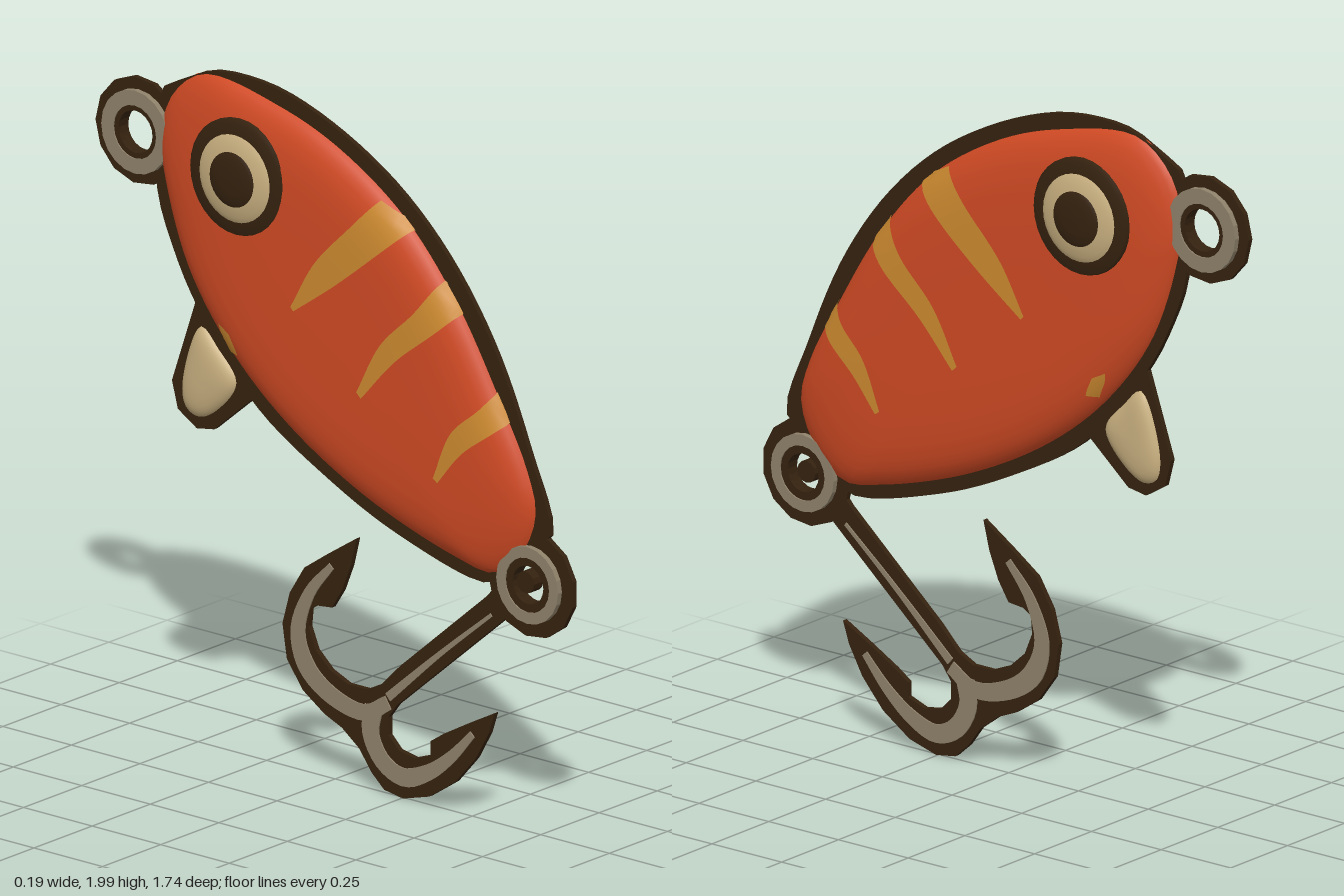
import * as THREE from 'three';
import { mergeVertices } from 'three/addons/utils/BufferGeometryUtils.js';

const mat = (name, color, side = THREE.FrontSide) => {
  const m = new THREE.MeshStandardMaterial({ color, side });
  m.name = name;
  return m;
};

// Drawing units of the side profile -> model units (s runs towards the nose, y up)
const U = 188.6;
const P = (a, b) => new THREE.Vector2((a - 686) / U, (413 - b) / U);
const path = (n) => {
  const out = [];
  for (let i = 0; i < n.length; i += 2) out.push(P(n[i], n[i + 1]));
  return out;
};
const smooth = (pts, n, closed = true) => {
  const c = new THREE.CatmullRomCurve3(pts.map(p => new THREE.Vector3(p.x, p.y, 0)), closed, 'centripetal');
  const r = c.getSpacedPoints(n).map(p => new THREE.Vector2(p.x, p.y));
  if (closed) r.pop();
  return r;
};

// Flat plate of half thickness h, centred on the middle plane
function plate(pts, h, holes = []) {
  const shape = new THREE.Shape(pts);
  holes.forEach(q => shape.holes.push(new THREE.Path(q)));
  return new THREE.ExtrudeGeometry(shape, { depth: 2 * h, bevelEnabled: false }).translate(0, 0, -h);
}
const circle = (c, r, n) => Array.from({ length: n }, (_, i) => {
  const a = i / n * Math.PI * 2;
  return new THREE.Vector2(c.x + r * Math.cos(a), c.y + r * Math.sin(a));
});

// Surface through a grid of points f(i, j)
function grid(rows, cols, f) {
  const pos = [], idx = [];
  for (let i = 0; i <= rows; i++) for (let j = 0; j <= cols; j++) pos.push(...f(i, j));
  for (let i = 0; i < rows; i++) for (let j = 0; j < cols; j++) {
    const a = i * (cols + 1) + j, b = a + cols + 1;
    idx.push(a, b, b + 1, a, b + 1, a + 1);
  }
  let g = new THREE.BufferGeometry();
  g.setAttribute('position', new THREE.Float32BufferAttribute(pos, 3));
  g.setIndex(idx);
  g = mergeVertices(g, 1e-5);
  g.computeVertexNormals();
  return g;
}

// Cushion: counter-clockwise outline with a rounded rim on both sides
const bulge = (rho, t, k) => t * Math.pow(Math.max(0, 1 - Math.pow(rho, k)), 0.6);
function pillow(outline, c, t, k) {
  const half = [0, 0.3, 0.55, 0.72, 0.82, 0.89, 0.94, 0.975, 0.993];
  const rings = [...half.map(r => [r, 1]), [1, 1], ...half.slice().reverse().map(r => [r, -1])];
  const n = outline.length;
  return grid(rings.length - 1, n, (i, j) => {
    const [r, sgn] = rings[i], p = outline[j % n];
    return [c.x + (p.x - c.x) * r, c.y + (p.y - c.y) * r, sgn * bulge(r, t, k)];
  });
}

export function createModel() {
  const red = mat('red paint', 0xd04a24), dark = mat('dark brown', 0x35220f);
  const metal = mat('dull metal', 0x8f826b), cream = mat('cream', 0xc9b080);
  const gold = mat('gold stripe', 0xcd8a30, THREE.DoubleSide);

  const model = new THREE.Group();
  const side = new THREE.Group();   // profile plane, turned so its nose points to -z
  side.name = 'lure';
  side.rotation.y = Math.PI / 2;
  model.add(side);
  const add = (name, geo, m) => {
    const mesh = new THREE.Mesh(geo, m);
    mesh.name = name;
    side.add(mesh);
    return mesh;
  };

  // Body
  const T = 0.064, K = 7, C = P(682, 160);
  const bodyLine = smooth(path([546, 235, 555, 258, 575, 274, 600, 271, 660, 252, 715, 223, 755, 190, 785, 150,
    801, 107, 805, 80, 797, 56, 775, 40, 722, 47, 680, 62, 636, 90, 600, 130, 572, 175, 552, 212]), 96);
  add('body', pillow(bodyLine, C, T, K), red);

  // Thin dark rim around the body
  add('bodyRim', plate(smooth(path([537, 245, 552, 256, 566, 272, 580, 280, 640, 267, 690, 246, 740, 216, 780, 170,
    796, 142, 807, 112, 807, 65, 803, 54, 790, 47, 770, 38, 748, 36, 720, 39, 680, 53, 640, 76, 605, 108, 575, 150,
    552, 200]), 80), 0.008), dark);

  // How far a point lies between body centre (0) and rim (1)
  const rhoOf = (p) => {
    let m = 0;
    bodyLine.forEach((a, i) => {
      const b = bodyLine[(i + 1) % bodyLine.length];
      const nx = b.y - a.y, ny = a.x - b.x;
      const d = nx * (a.x - C.x) + ny * (a.y - C.y);
      m = Math.max(m, (nx * (p.x - C.x) + ny * (p.y - C.y)) / d);
    });
    return m;
  };
  // Painted stripes, laid just over the body surface from rim to tip
  const stripes = [
    [[650, 83, 665, 99, 690, 125, 706, 152], [628, 94, 645, 109, 676, 134, 704, 154]],
    [[609, 119, 622, 137, 645, 160, 661, 189], [594, 132, 609, 146, 635, 167, 658, 192]],
    [[571, 170, 580, 182, 597, 198, 609, 225], [560, 184, 572, 194, 590, 208, 606, 227]],
    [[758, 173, 757, 178, 754, 184, 752, 188], [750, 177, 748, 181, 746, 185, 745, 188]],
  ];
  stripes.forEach(([u, l], n) => {
    const A = smooth(path(u), 24, false), B = smooth(path(l), 24, false);
    for (const s of [1, -1]) {
      add(n < 3 ? 'stripe' : 'finPatch', grid(24, 6, (i, j) => {
        const p = A[i].clone().lerp(B[i], j / 6), r = rhoOf(p);
        const q = Math.min(r, 1), f = q / r * 1.008;
        return [C.x + (p.x - C.x) * f, C.y + (p.y - C.y) * f, s * (bulge(q, T, K) + 0.003)];
      }), gold);
    }
  });

  // Eyes: dark socket, cream iris, domed pupil
  const eyeParts = [
    ['eyeSocket', [[0.172, 0.02], [0.172, 0.058], [0.163, 0.067], [0.128, 0.07]], dark],
    ['iris', [[0.132, 0.066], [0.112, 0.078], [0.08, 0.083]], cream],
    ['pupil', [[0.084, 0.08], [0.07, 0.088], [0.04, 0.092], [0, 0.093]], dark],
  ];
  const eye = P(744, 89);
  for (const s of [1, -1]) for (const [name, prof, m] of eyeParts) {
    const g = new THREE.LatheGeometry(prof.map(p => new THREE.Vector2(...p)), 32);
    add(name, g.rotateX(s * Math.PI / 2).translate(eye.x, eye.y, 0), m);
  }

  // Line eyelet at the nose and hook ring at the tail
  for (const [name, c, hole, inner, outer] of [
    ['noseRing', P(820, 82), 0.062, 0.078, 0.122], ['tailRing', P(550, 274), 0.056, 0.08, 0.113]]) {
    add(name + 'Rim', plate(circle(c, 0.157, 13), 0.008, [circle(c, hole, 16)]), dark);
    add(name + 'Liner', plate(circle(c, inner + 0.002, 20), 0.021, [circle(c, hole, 20)]), dark);
    add(name, plate(circle(c, outer, 20), 0.025, [circle(c, inner, 20)]), metal);
  }
  const eyelet = P(552, 273);
  add('hookPin', plate(circle(eyelet, 0.032, 12), 0.02), dark);

  // Belly fin
  add('finRim', plate(path([735, 208, 768, 236, 780, 238, 793, 230, 797, 215, 778, 160, 750, 180]), 0.008), dark);
  add('fin', pillow(smooth(path([752, 207, 769, 228, 780, 232, 788, 228, 790, 214, 777, 180, 765, 190]), 40),
    P(774, 208), 0.03, 4), cream);

  // Double hook with a dark edge
  add('hookEdge', plate(path([564, 294, 574, 280, 580, 287, 640, 339, 653, 352, 663, 357, 676, 357, 688, 352, 698, 343,
    703, 331, 702, 321, 697, 318, 687, 317, 680, 306, 674, 291, 670, 275, 690, 288, 706, 299, 716, 315, 721, 333,
    718, 352, 707, 367, 692, 377, 680, 382, 668, 391, 660, 402, 651, 410, 638, 412, 620, 407, 602, 395, 588, 379,
    579, 363, 575, 351, 592, 360, 610, 370, 619, 376, 619, 384, 630, 388, 641, 386, 648, 379, 648, 369, 642, 361]),
    0.008), dark);
  // Tapered flat strip along a curve; widths run from start over middle to end
  const strip = (nums, w0, w1, w2) => {
    const pts = smooth(path(nums), 28, false), L = [], R = [];
    pts.forEach((p, i) => {
      const t = i / 28;
      const w = (t < 0.5 ? w0 + (w1 - w0) * 2 * t : w1 + (w2 - w1) * (2 * t - 1)) / 2 / U;
      const d = pts[Math.min(i + 1, 28)].clone().sub(pts[Math.max(i - 1, 0)]).normalize();
      L.push(new THREE.Vector2(p.x - d.y * w, p.y + d.x * w));
      R.unshift(new THREE.Vector2(p.x + d.y * w, p.y - d.x * w));
    });
    return plate([...L, ...R], 0.012);
  };
  add('hookShank', strip([577, 297, 612, 326, 648, 358], 2, 3, 5), metal);
  add('largeBarb', strip([687, 294, 702, 312, 710, 335, 704, 353, 688, 365, 664, 370, 648, 361], 4, 12, 8), metal);
  add('smallBarb', strip([658, 366, 660, 380, 652, 394, 638, 400, 621, 394, 605, 382, 590, 366], 12, 10, 4), metal);

  return model;
}
